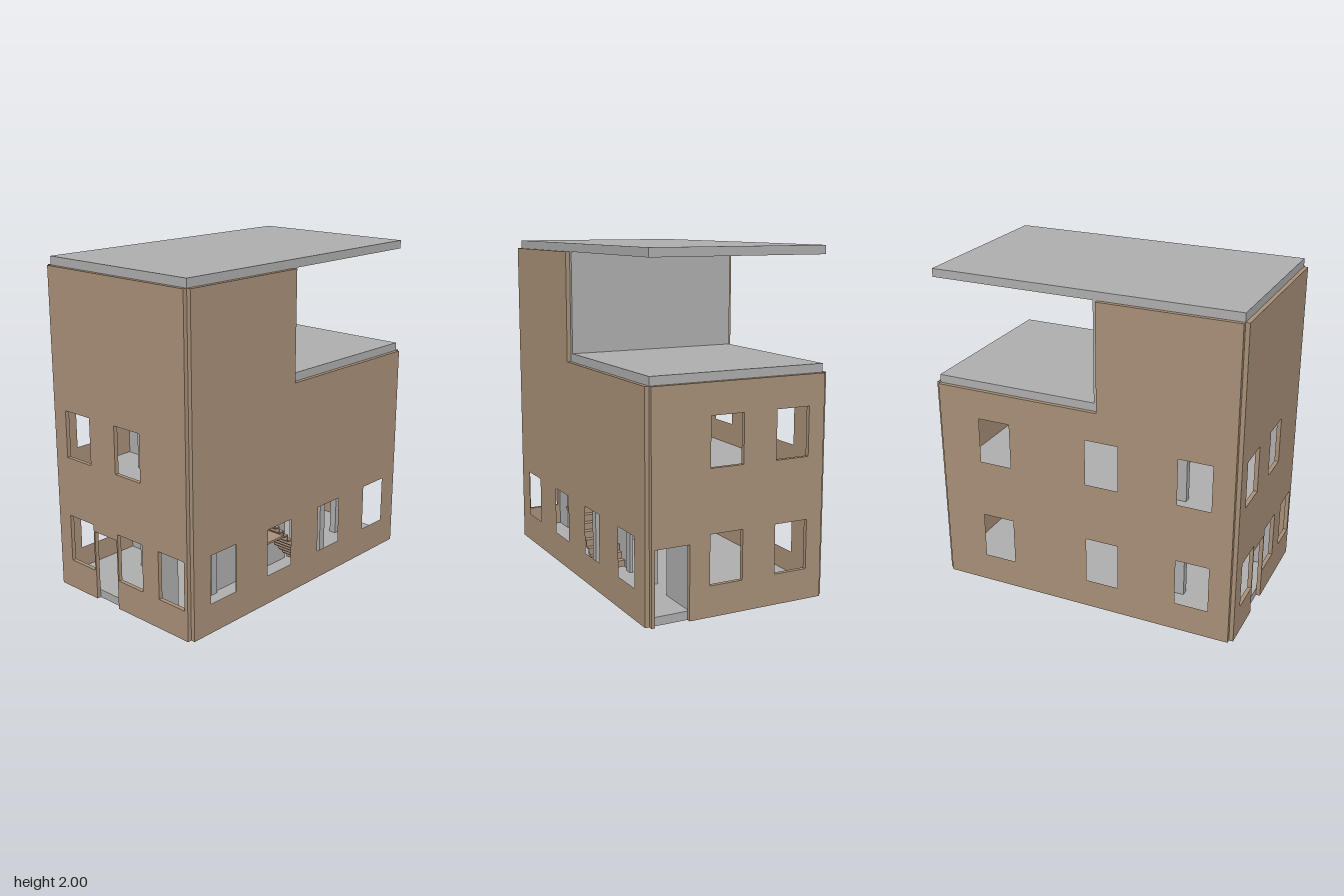
import * as THREE from 'three';

const brick = new THREE.MeshStandardMaterial({ color: 0xa89078 });
brick.name = 'tan wall';
const concrete = new THREE.MeshStandardMaterial({ color: 0xaeaeae });
concrete.name = 'grey concrete';

const T = 0.025; // outer wall thickness
const W = 0.54, L = 0.935; // half width and half length of the slabs
const LOW = [0.18, 0.47], HIGH = [0.835, 1.12]; // window heights per storey
const DOOR_TOP = 0.43;

// Rectangle as a list of corners
const rect = (a, b, y0, y1) => [[a, y0], [b, y0], [b, y1], [a, y1]];
const toPath = (pts, Type) => new Type(pts.map(([x, y]) => new THREE.Vector2(x, y)));

// Wall outline with doorways cut up from its bottom edge
function outline(a, b, y0, y1, doors = [], doorTop = DOOR_TOP) {
  const pts = [[a, y0]];
  for (const [d0, d1] of [...doors].sort((p, q) => p[0] - q[0])) {
    pts.push([d0, y0], [d0, doorTop], [d1, doorTop], [d1, y0]);
  }
  pts.push([b, y0], [b, y1], [a, y1]);
  return pts;
}

function panelGeometry(pts, holes, depth) {
  const shape = toPath(pts, THREE.Shape);
  shape.holes = holes.map((h) => toPath(h, THREE.Path));
  return new THREE.ExtrudeGeometry(shape, { depth, bevelEnabled: false });
}

export function createModel() {
  const group = new THREE.Group();

  const add = (name, geometry, material) => {
    const mesh = new THREE.Mesh(geometry, material);
    mesh.name = name;
    group.add(mesh);
  };
  const box = (name, x0, x1, y0, y1, z0, z1, material) => {
    const g = new THREE.BoxGeometry(x1 - x0, y1 - y0, z1 - z0);
    g.translate((x0 + x1) / 2, (y0 + y1) / 2, (z0 + z1) / 2);
    add(name, g, material);
  };
  // Wall across the house, profile in x and y, back face at z
  const crossWall = (name, pts, holes, z, depth, material) => {
    add(name, panelGeometry(pts, holes, depth).translate(0, 0, z), material);
  };
  // Wall along the house, profile in z and y, inner face at x
  const longWall = (name, pts, holes, x, depth, material) => {
    const flip = (list) => list.map(([z, y]) => [-z, y]);
    const g = panelGeometry(flip(pts), holes.map(flip), depth);
    add(name, g.rotateY(Math.PI / 2).translate(x, 0, 0), material);
  };

  // Front and back walls
  const bays = [[-0.44, -0.23], [-0.02, 0.185]];
  const pairs = bays.flatMap(([a, b]) => [rect(a, b, ...LOW), rect(a, b, ...HIGH)]);
  crossWall('frontWall', outline(-W, W, 0, 1.95, [[-0.22, -0.03]]),
    [...pairs, rect(0.315, 0.515, ...LOW)], L, T, brick);
  crossWall('backWall', outline(-W, W, 0, 1.3, [[0.31, 0.52]]), pairs, -L - T, T, brick);

  // Stepped side walls
  const stepped = [[-L, 0], [L, 0], [L, 1.95], [0.105, 1.95], [0.105, 1.3], [-L, 1.3]];
  const rightBays = [[0.6, 0.805], [0.12, 0.33], [-0.34, -0.135], [-0.805, -0.6]];
  longWall('rightWall', stepped, rightBays.map(([a, b]) => rect(a, b, ...LOW)), W, T, brick);
  const leftBays = [[0.6, 0.805], [0.03, 0.235], [-0.67, -0.465]];
  longWall('leftWall', stepped,
    leftBays.flatMap(([a, b]) => [rect(a, b, ...LOW), rect(a, b, ...HIGH)]), -W - T, T, brick);

  // Slabs
  box('groundSlab', -W, W, 0, 0.05, -L, L, concrete);
  box('terraceSlab', -W, W, 1.3, 1.35, -L, L, concrete);
  box('roofSlab', -W, W, 1.95, 2, -L, L, concrete);
  const floor = panelGeometry(rect(-W, W, -L, L), [rect(0.31, 0.52, -0.445, 0.1)], 0.05);
  add('upperFloor', floor.rotateX(-Math.PI / 2).translate(0, 0.65, 0), concrete);

  // Wall closing the top storey towards the terrace
  box('terraceWall', -W, W, 1.35, 1.95, 0.08, 0.105, concrete);

  // Partitions, repeated on both storeys
  for (const [name, y] of [['lower', 0.05], ['upper', 0.7]]) {
    const top = y + 0.6, doorTop = y + 0.38;
    longWall(name + 'HallPartition',
      outline(-L, L, y, top, [[0.605, 0.795], [-0.335, -0.145], [-0.67, -0.48]], doorTop),
      [], 0.255, 0.045, concrete);
    crossWall(name + 'RoomPartition', outline(-W, 0.255, y, top, [[-0.22, -0.03]], doorTop),
      [], 0.345, 0.045, concrete);
    box(name + 'PartitionStub', -0.285, -0.24, y, top, 0.39, 0.55, concrete);
  }
  for (const z of [0.5, -0.235]) {
    crossWall('hallDoorway', outline(0.3, W, 0.05, 0.65, [[0.32, 0.51]]), [], z, 0.045, concrete);
  }

  // Thin folded staircase rising towards the front
  const t = 0.008, step = 0.04;
  for (let k = -7; k <= 7; k++) {
    const y = 0.385 + step * k, z = 0.125 + step * k;
    box('stairRiser', 0.315, 0.515, y - step, y, z, z + t, brick);
    box('stairTread', 0.315, 0.515, y - t, y, z + t, z + step, brick);
  }
  box('stairLanding', 0.315, 0.515, 0.342, 0.355, 0.133, 0.285, brick);

  return group;
}
